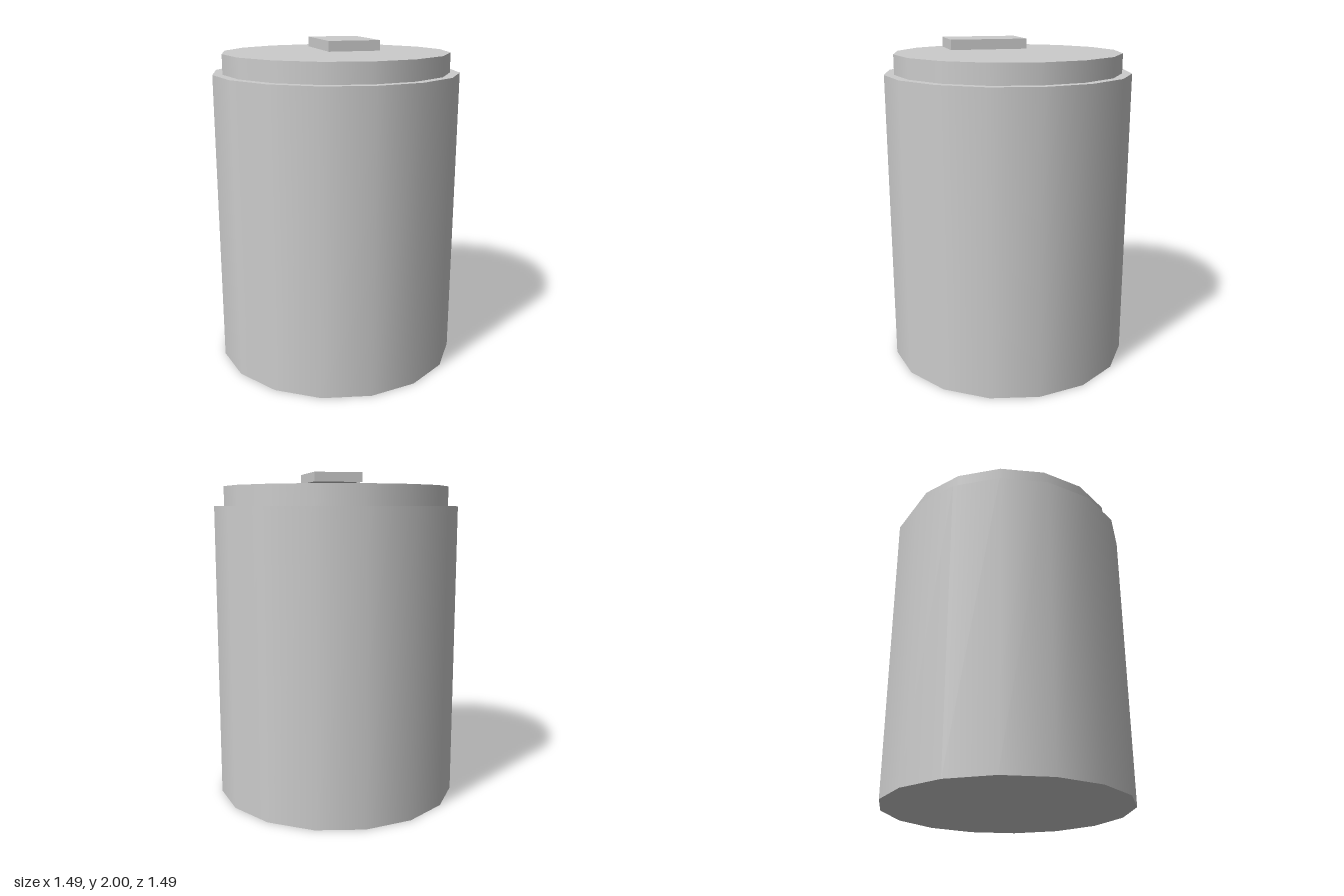
import * as THREE from 'three';

export function createModel() {
  const model = new THREE.Group();
  model.name = 'canister';

  const grey = new THREE.MeshStandardMaterial({ color: 0xcccccc });
  grey.name = 'light grey';

  const add = (name, geometry, y, z = 0) => {
    const mesh = new THREE.Mesh(geometry, grey);
    mesh.name = name;
    mesh.position.set(0, y, z);
    model.add(mesh);
  };

  // Sixteen-sided drum with smooth walls and a flat bottom
  const bodyHeight = 1.795;
  add('body', new THREE.CylinderGeometry(0.747, 0.747, bodyHeight, 16), bodyHeight / 2);

  // Slightly narrower lid resting on the drum
  const lidHeight = 0.118;
  add('lid', new THREE.CylinderGeometry(0.688, 0.688, lidHeight, 16), bodyHeight + lidHeight / 2);

  // Handle slab hovering just above the lid, set towards the front
  const slabHeight = 0.058;
  add('handle', new THREE.BoxGeometry(0.298, slabHeight, 0.448), 2 - slabHeight / 2, 0.149);

  return model;
}
